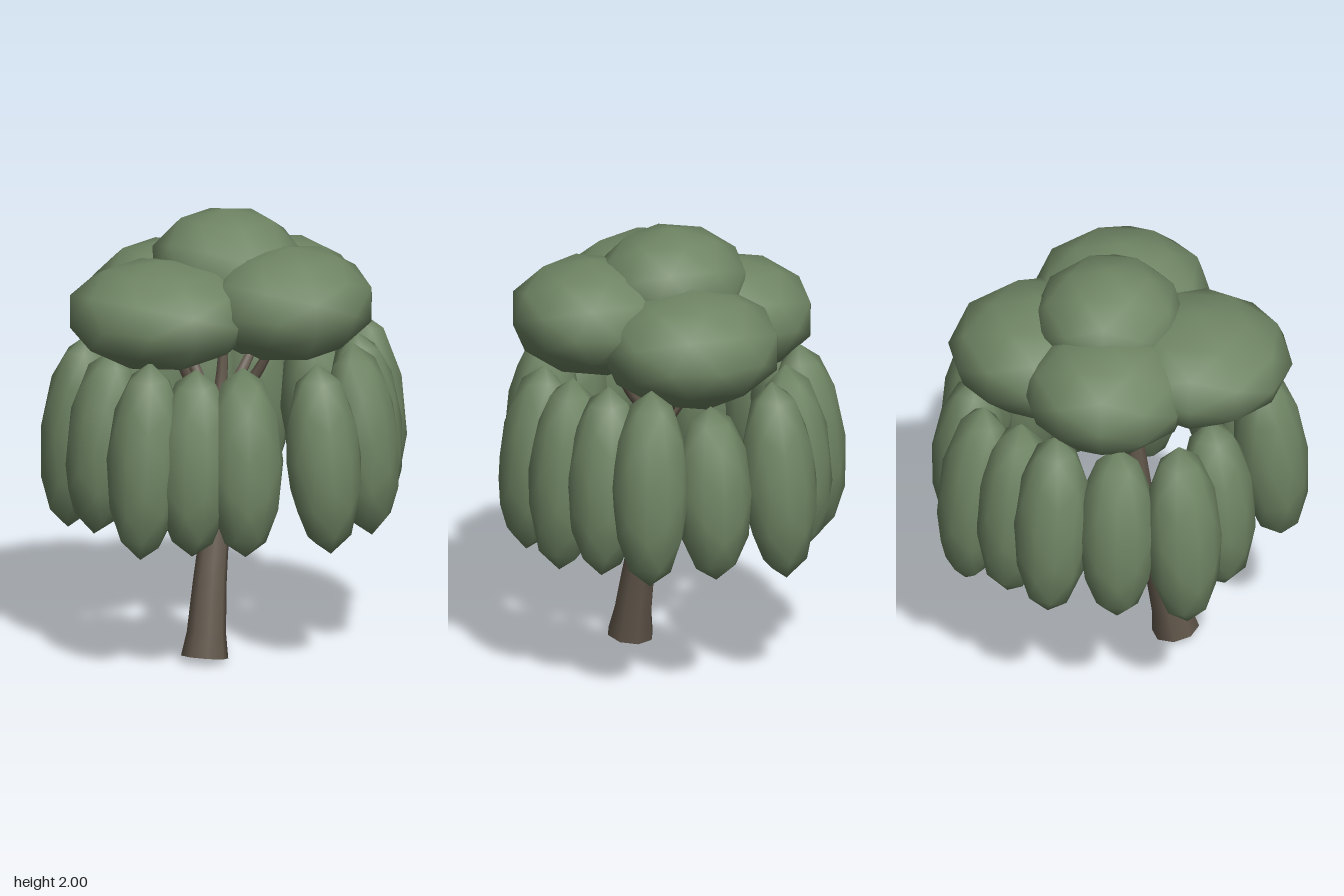
import * as THREE from 'three';

const leaf = new THREE.MeshStandardMaterial({ color: 0x6f8564 });
leaf.name = 'leaf green';
const bark = new THREE.MeshStandardMaterial({ color: 0x655a4e });
bark.name = 'bark brown';

const v = (p) => new THREE.Vector3(...p);

// Low-poly ball with smooth normals, stretched into a foliage clump
const ball = new THREE.IcosahedronGeometry(1, 1);
function clump(name, centre, radii) {
  const mesh = new THREE.Mesh(ball, leaf);
  mesh.name = name;
  mesh.position.set(...centre);
  mesh.scale.set(...radii);
  return mesh;
}

// Tube along a curve whose rings are resized by a list of radii
function taperedTube(name, points, radii, segments, sides) {
  const curve = new THREE.CatmullRomCurve3(points.map(v));
  const geo = new THREE.TubeGeometry(curve, segments, 1, sides);
  const pos = geo.attributes.position;
  const p = new THREE.Vector3();
  for (let i = 0; i < pos.count; i++) {
    const t = Math.floor(i / (sides + 1)) / segments;
    const f = t * (radii.length - 1);
    const k = Math.min(Math.floor(f), radii.length - 2);
    const r = THREE.MathUtils.lerp(radii[k], radii[k + 1], f - k);
    const c = curve.getPointAt(t);
    p.fromBufferAttribute(pos, i).sub(c).multiplyScalar(r).add(c);
    pos.setXYZ(i, p.x, p.y, p.z);
  }
  const mesh = new THREE.Mesh(geo, bark);
  mesh.name = name;
  return mesh;
}

export function createModel() {
  const tree = new THREE.Group();
  tree.name = 'weepingTree';

  // Leaning trunk with a flared foot
  const foot = [-0.245, 0.02, 0.075];
  tree.add(taperedTube('trunk',
    [foot, [-0.225, 0.13, 0.07], [-0.18, 0.36, 0.055], [-0.11, 0.65, 0.035], [-0.06, 1.1, 0]],
    [0.106, 0.088, 0.082, 0.076, 0.071, 0.066, 0.061, 0.057, 0.054, 0.05, 0.045], 10, 8));
  const base = new THREE.Mesh(new THREE.CircleGeometry(0.104, 8), bark);
  base.name = 'trunkBase';
  base.position.set(...foot);
  base.lookAt(-0.415, -0.98, 0.1);
  tree.add(base);

  // Crown clumps, each carried by a branch
  const crown = [
    ['crownFront', [0.02, 1.63, 0.35], [0.4, 0.255, 0.37]],
    ['crownRight', [-0.36, 1.59, -0.08], [0.42, 0.24, 0.43]],
    ['crownLeft', [0.34, 1.545, 0], [0.42, 0.265, 0.41]],
    ['crownBack', [0.02, 1.56, -0.31], [0.38, 0.26, 0.37]],
    ['crownTop', [0.04, 1.74, -0.02], [0.34, 0.26, 0.35]],
  ];
  for (const [name, c, r] of crown) {
    tree.add(clump(name, c, r));
    const mid = [c[0] * 0.45 - 0.03, 1.24, c[2] * 0.45];
    tree.add(taperedTube('branch', [[-0.06, 1.04, 0], mid, [c[0] * 0.9, c[1] - 0.1, c[2] * 0.9]],
      [0.035, 0.015], 5, 6));
  }

  // Ring of hanging clumps: x, z, bottom, top
  const hanging = [
    [-0.42, 0.43, 0.58, 1.43], [-0.05, 0.59, 0.54, 1.4], [0.27, 0.56, 0.55, 1.43],
    [0.45, 0.44, 0.57, 1.43], [0.655, 0.3, 0.57, 1.46], [0.67, 0.01, 0.57, 1.36],
    [0.61, -0.32, 0.52, 1.42], [0.42, -0.46, 0.57, 1.43], [0.24, -0.59, 0.57, 1.46],
    [-0.05, -0.6, 0.57, 1.42], [-0.34, -0.56, 0.53, 1.42], [-0.47, -0.32, 0.57, 1.41],
    [-0.67, 0.07, 0.56, 1.45], [-0.55, 0.25, 0.58, 1.42],
  ];
  for (const [x, z, low, high] of hanging) {
    const mesh = clump('hangingFoliage', [x, (low + high) / 2, z], [0.175, (high - low) / 2, 0.165]);
    mesh.rotation.order = 'YXZ';
    mesh.rotation.y = Math.atan2(x, z);
    mesh.rotation.x = -0.1; // tips swing outward
    tree.add(mesh);
  }
  return tree;
}
